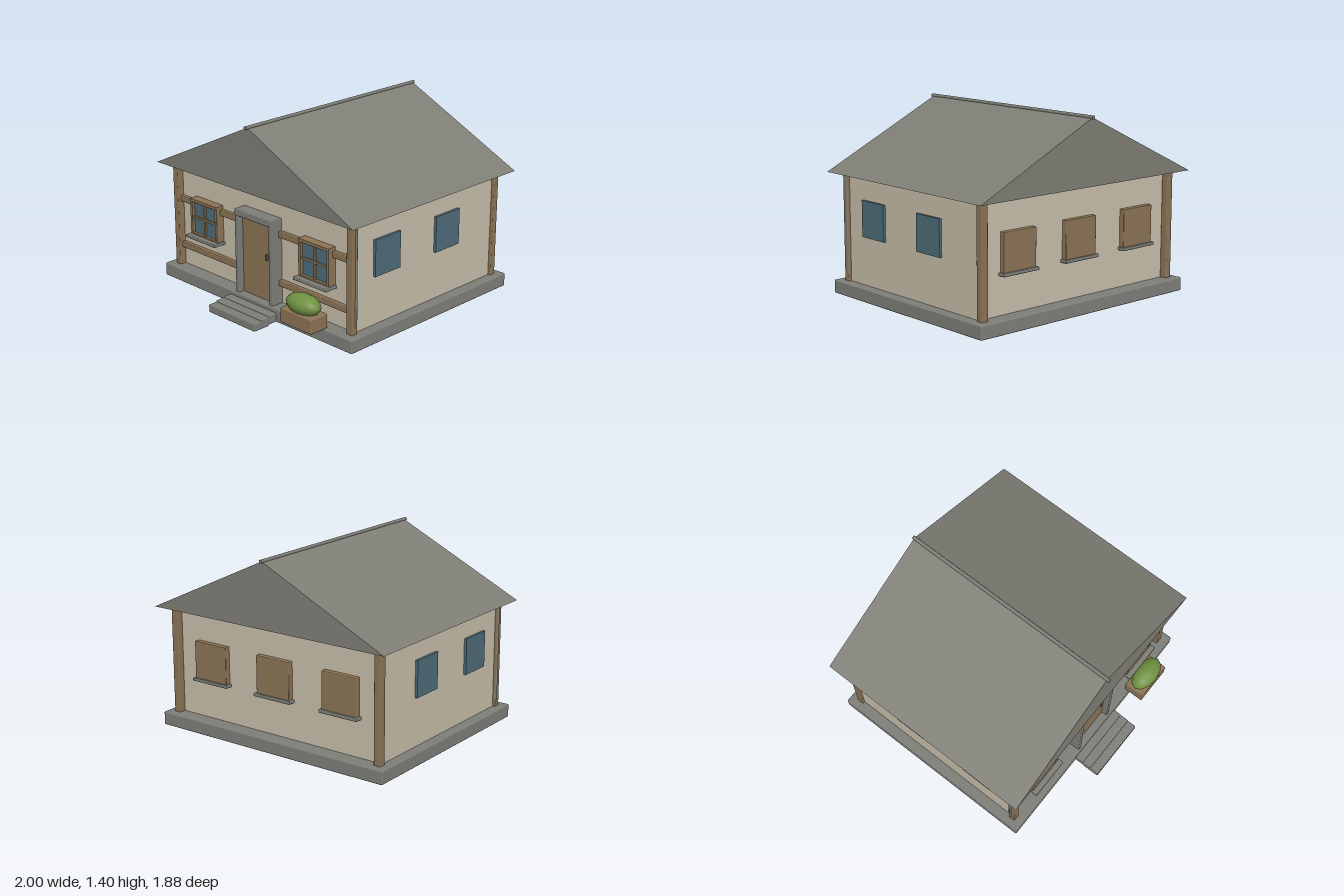
import * as THREE from 'three';
import { RoundedBoxGeometry } from 'three/addons/geometries/RoundedBoxGeometry.js';

const mat = (name, color) => {
  const m = new THREE.MeshStandardMaterial({ color });
  m.name = name;
  return m;
};

export function createModel() {
  const house = new THREE.Group();
  house.name = 'cottage';
  const plaster = mat('plaster', 0xc6bda9);
  const wood = mat('wood', 0x8b7355);
  const stone = mat('stone', 0x7d7d78);
  const slate = mat('roofSlate', 0x7e7d75);
  const glass = mat('glass', 0x4e6b78);
  const leaf = mat('leaf', 0x6f9040);
  const iron = mat('iron', 0x55565a);

  const add = (name, geometry, material, x = 0, y = 0, z = 0) => {
    const mesh = new THREE.Mesh(geometry, material);
    mesh.name = name;
    mesh.position.set(x, y, z);
    house.add(mesh);
    return mesh;
  };
  // Box given by its limits, with an optional small rounded edge
  const box = (name, material, x0, x1, y0, y1, z0, z1, r = 0) => {
    const s = [x1 - x0, y1 - y0, z1 - z0];
    const g = r ? new RoundedBoxGeometry(...s, 2, r) : new THREE.BoxGeometry(...s);
    return add(name, g, material, (x0 + x1) / 2, (y0 + y1) / 2, (z0 + z1) / 2);
  };

  // Base and entrance steps
  box('foundation', stone, -0.975, 0.975, 0.01, 0.11, -0.91, 0.735, 0.01);
  [[0.94, 0, 0.06], [0.87, 0.01, 0.07], [0.8, 0.02, 0.08]].forEach(([z, y0, y1]) =>
    box('step', stone, -0.24, 0.24, y0, y1, z - 0.14, z, 0.008));

  // Walls
  box('walls', plaster, -0.9, 0.9, 0.1, 0.912, -0.8, 0.625);

  // Gabled roof with ridge pole
  const gable = new THREE.Shape([
    new THREE.Vector2(-1, 0.91), new THREE.Vector2(1, 0.91), new THREE.Vector2(0, 1.385),
  ]);
  add('roof', new THREE.ExtrudeGeometry(gable, { depth: 1.69, bevelEnabled: false }), slate, 0, 0, -0.935);
  add('ridge', new THREE.CylinderGeometry(0.014, 0.014, 1.72, 8).rotateX(Math.PI / 2), slate, 0, 1.385, -0.085);

  // Corner posts and drainpipes
  for (const s of [-1, 1]) {
    const cx = s * 0.892;
    for (const z of [0.648, -0.825]) {
      box('cornerPost', wood, cx - 0.028, cx + 0.028, 0.105, 0.912, z - 0.027, z + 0.027, 0.007);
    }
    add('drainpipe', new THREE.CylinderGeometry(0.012, 0.012, 0.75, 10), stone, s * 0.914, 0.535, 0.635);
  }

  // Front timber beams
  for (const [y0, y1] of [[0.245, 0.29], [0.61, 0.655], [0.885, 0.912]]) {
    box('beam', wood, -0.868, 0.868, y0, y1, 0.615, 0.655, 0.006);
  }

  // Front windows
  for (const x of [-0.568, 0.568]) {
    for (const s of [-1, 1]) {
      const fx = x + s * 0.135;
      box('windowSide', wood, fx - 0.012, fx + 0.012, 0.4, 0.68, 0.615, 0.69, 0.004);
    }
    box('windowHead', wood, x - 0.147, x + 0.147, 0.658, 0.682, 0.615, 0.692, 0.004);
    box('windowFoot', wood, x - 0.147, x + 0.147, 0.398, 0.418, 0.615, 0.69, 0.004);
    box('windowGlass', glass, x - 0.125, x + 0.125, 0.41, 0.665, 0.615, 0.668);
    box('mullion', wood, x - 0.008, x + 0.008, 0.41, 0.665, 0.66, 0.68);
    box('transom', wood, x - 0.125, x + 0.125, 0.532, 0.548, 0.66, 0.68);
    box('windowSill', stone, x - 0.16, x + 0.16, 0.382, 0.406, 0.615, 0.73, 0.006);
  }

  // Shuttered back windows
  for (const x of [-0.568, 0, 0.568]) {
    box('shutter', wood, x - 0.145, x + 0.145, 0.4, 0.68, -0.84, -0.79, 0.006);
    box('backSill', stone, x - 0.16, x + 0.16, 0.382, 0.406, -0.856, -0.79, 0.006);
  }

  // Side window panes
  for (const s of [-1, 1]) for (const z of [0.325, -0.295]) {
    box('sideWindow', glass, s * 0.908 - 0.012, s * 0.908 + 0.012, 0.468, 0.735, z - 0.125, z + 0.125);
  }

  // Door with stone surround
  for (const s of [-1, 1]) {
    const x = s * 0.174;
    box('doorJamb', stone, x - 0.018, x + 0.018, 0.105, 0.72, 0.61, 0.72, 0.007);
  }
  box('doorLintel', stone, -0.193, 0.193, 0.695, 0.745, 0.61, 0.722, 0.007);
  box('door', wood, -0.157, 0.157, 0.11, 0.7, 0.61, 0.675);
  box('doorHandle', iron, 0.094, 0.11, 0.42, 0.465, 0.67, 0.695, 0.004);

  // Planter with bush
  box('planter', wood, 0.415, 0.715, 0.108, 0.217, 0.7, 0.858, 0.008);
  const bush = add('bush', new THREE.SphereGeometry(1, 12, 8), leaf, 0.565, 0.265, 0.78);
  bush.scale.set(0.15, 0.075, 0.088);

  return house;
}
